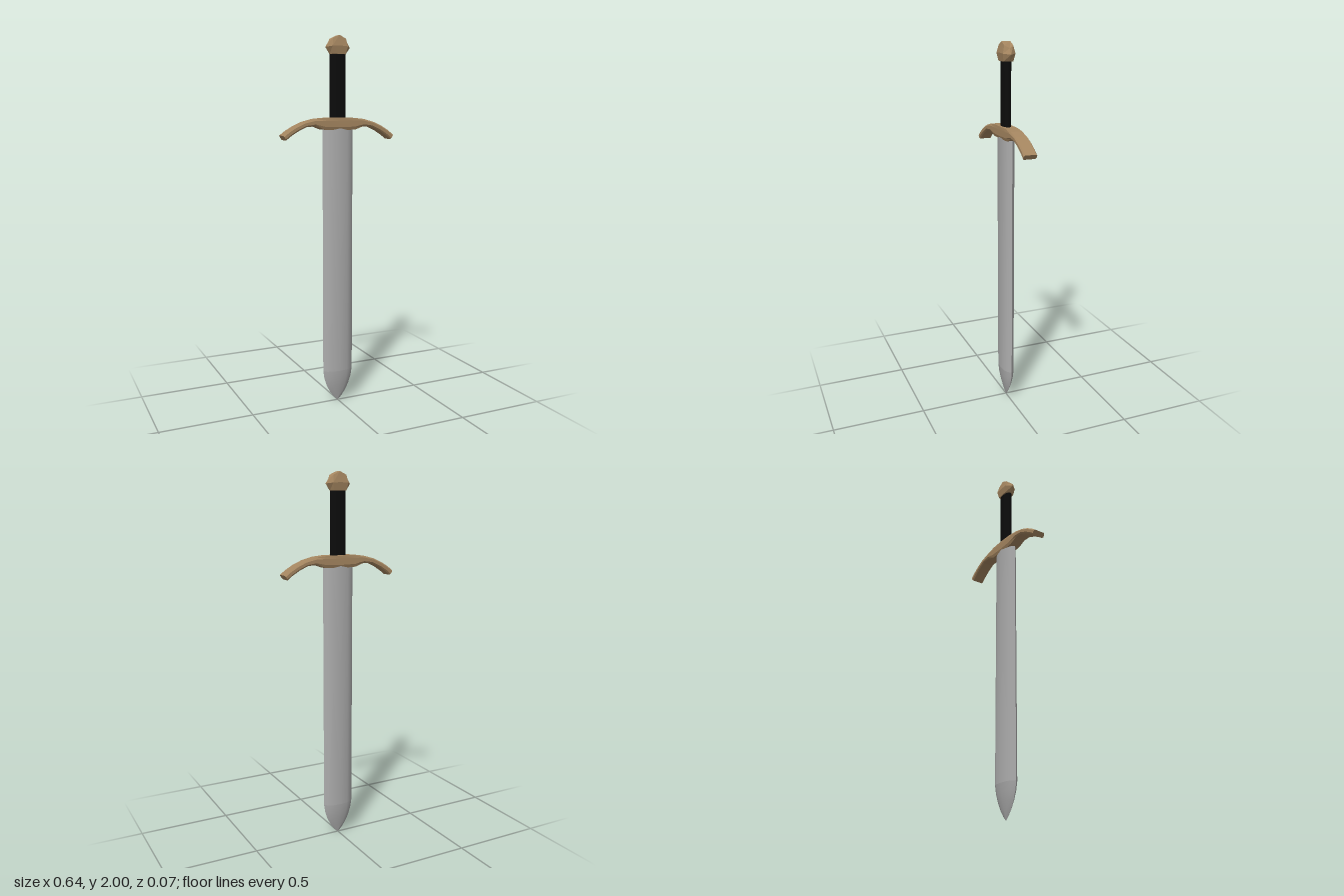
import * as THREE from 'three';
import { toCreasedNormals } from 'three/addons/utils/BufferGeometryUtils.js';

// Skin a list of equal-length point loops and close both ends with fans.
function loft(rings, crease) {
  const n = rings[0].length, pos = rings.flat(2), idx = [];
  for (let i = 0; i < rings.length - 1; i++) {
    for (let j = 0; j < n; j++) {
      const k = (j + 1) % n, a = i * n, b = a + n;
      idx.push(a + j, a + k, b + k, a + j, b + k, b + j);
    }
  }
  const top = (rings.length - 1) * n;
  for (let j = 1; j < n - 1; j++) idx.push(0, j + 1, j, top, top + j, top + j + 1);
  const geo = new THREE.BufferGeometry();
  geo.setAttribute('position', new THREE.Float32BufferAttribute(pos, 3));
  geo.setIndex(idx);
  return toCreasedNormals(geo, crease);
}

export function createModel() {
  const group = new THREE.Group();
  const material = (name, color) => {
    const m = new THREE.MeshStandardMaterial({ color });
    m.name = name;
    return m;
  };
  const steel = material('steel', 0xacacac);
  const bronze = material('bronze', 0xa58660);
  const leather = material('black leather', 0x0c0c0c);
  const add = (name, geo, mat) => {
    const mesh = new THREE.Mesh(geo, mat);
    mesh.name = name;
    group.add(mesh);
  };

  // Blade: lens-shaped section with sharp edges at the sides
  const half = [[1, 0], [0.8, 0.55], [0.5, 0.88], [0, 1], [-0.5, 0.88], [-0.8, 0.55]];
  const lens = [...half.map(([x, z]) => [x, -z]), ...half.map(([x, z]) => [-x, z])];
  const bladeRing = (y, w, d) => lens.map(([x, z]) => [x * w, y, z * d]);
  add('blade', loft([bladeRing(0.18, 0.088, 0.034), bladeRing(1.54, 0.088, 0.034)], 0.75), steel);

  // Tip: the same section tapering to a point
  const tip = [[0, 0.001, 0.001], [0.02, 0.022, 0.005], [0.05, 0.045, 0.012],
    [0.09, 0.066, 0.021], [0.135, 0.081, 0.029], [0.18, 0.088, 0.034]];
  add('bladeTip', loft(tip.map((r) => bladeRing(...r)), 0.75), steel);

  // Guard: chamfered bar, drooping at both ends
  // Stations: top x, top y, bottom x, bottom y, top and bottom half depth
  const arm = [
    [0, 1.575, 0, 1.508, 0.035, 0.03],
    [0.08, 1.574, 0.09, 1.512, 0.033, 0.03],
    [0.14, 1.568, 0.14, 1.53, 0.03, 0.03],
    [0.2, 1.552, 0.19, 1.526, 0.03, 0.03],
    [0.25, 1.53, 0.238, 1.504, 0.03, 0.03],
    [0.29, 1.506, 0.277, 1.48, 0.03, 0.03],
    [0.32, 1.483, 0.304, 1.459, 0.03, 0.03],
  ];
  const guardRing = ([tx, ty, bx, by, td, bd], s) =>
    [[0, td], [0.25, 0.036], [0.75, 0.036], [1, bd], [1, -bd], [0.75, -0.036], [0.25, -0.036], [0, -td]]
      .map(([t, z]) => [s * (tx + (bx - tx) * t), ty + (by - ty) * t, z]);
  const guard = [
    ...arm.slice(1).reverse().map((a) => guardRing(a, -1)),
    ...arm.map((a) => guardRing(a, 1)),
  ];
  add('guard', loft(guard, 0.15), bronze);

  // Grip: flattened cylinder
  const grip = new THREE.CylinderGeometry(0.046, 0.046, 0.35, 12);
  grip.scale(1, 1, 0.5);
  grip.translate(0, 1.735, 0);
  add('grip', grip, leather);

  // Pommel: faceted gem shape with a short ridge along the top
  const pommelRing = (a, b, z, ya, yb, yc) => [
    [0, yc, -z], [-b, yb, -z], [-a, ya, 0], [-b, yb, z],
    [0, yc, z], [b, yb, z], [a, ya, 0], [b, yb, -z]];
  add('pommel', loft([
    pommelRing(0.046, 0.034, 0.027, 1.903, 1.903, 1.903),
    pommelRing(0.071, 0.044, 0.034, 1.938, 1.942, 1.945),
    pommelRing(0.052, 0.037, 0.024, 1.968, 1.982, 2),
  ], 0.1), bronze);

  return group;
}
